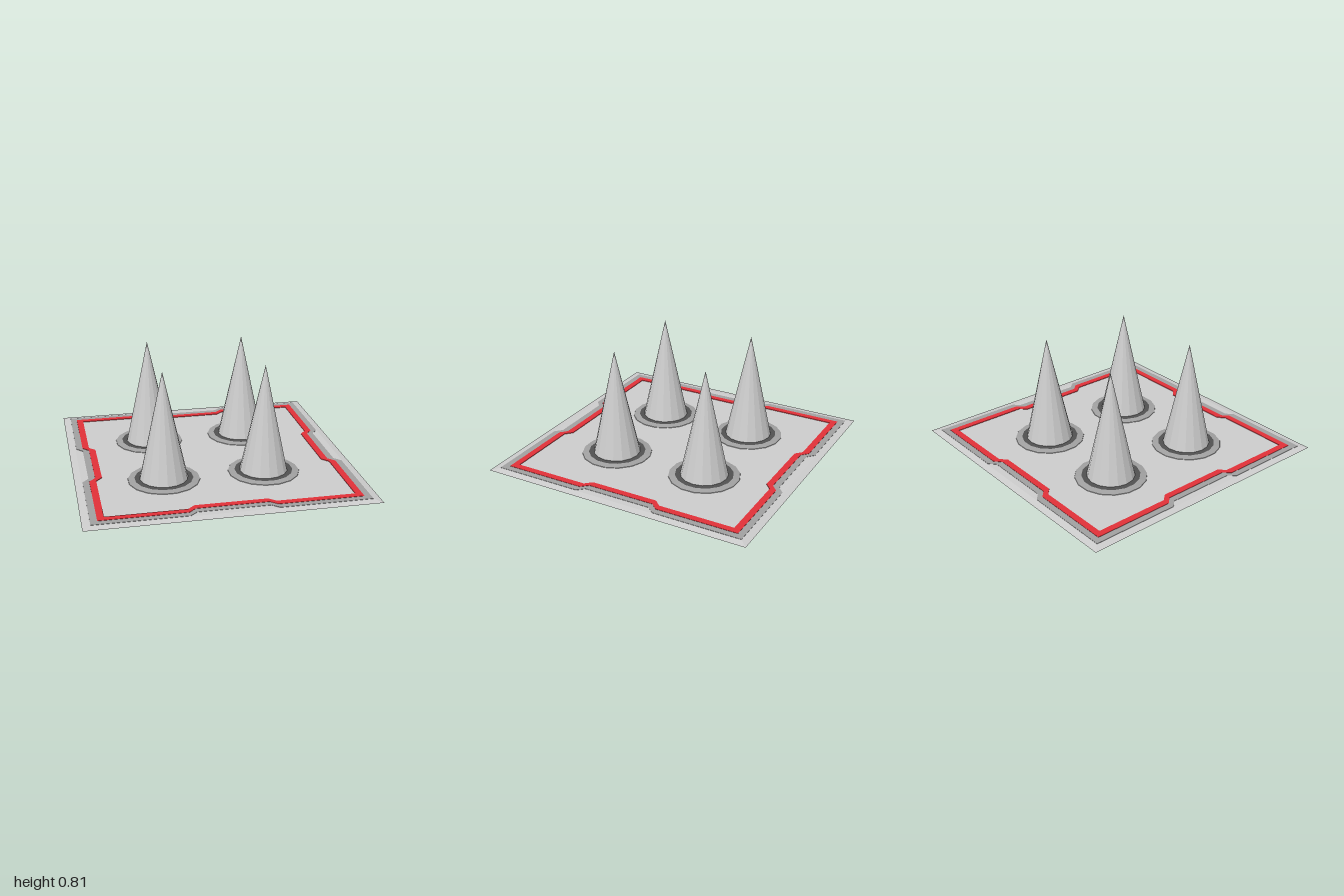
import * as THREE from 'three';

const mat = (color) => new THREE.MeshStandardMaterial({ color, flatShading: true });

// Square outline with a shallow inward notch in the middle of each side
function notchedPoints(r) {
  const side = [[-r, -r], [-0.3, -r], [-0.25, 0.045 - r], [0.25, 0.045 - r], [0.3, -r]];
  const pts = [];
  for (let i = 0; i < 4; i++) {
    const a = (i * Math.PI) / 2;
    for (const [x, y] of side) pts.push(new THREE.Vector2(x, y).rotateAround(new THREE.Vector2(), a));
  }
  return pts;
}

// Flat notched band between two outlines, lying from bottom to top
function band(name, outer, inner, bottom, top, material) {
  const shape = new THREE.Shape(notchedPoints(outer));
  shape.holes.push(new THREE.Path(notchedPoints(inner)));
  const geo = new THREE.ExtrudeGeometry(shape, { depth: top - bottom, bevelEnabled: false });
  geo.rotateX(-Math.PI / 2);
  const mesh = new THREE.Mesh(geo, material);
  mesh.name = name;
  mesh.position.y = bottom;
  return mesh;
}

// Ring around a spike, from [radius, height] pairs
function ring(name, profile, material) {
  const pts = profile.map(([r, y]) => new THREE.Vector2(r, y));
  const geo = new THREE.LatheGeometry(pts, 16);
  geo.rotateY(Math.PI / 16);
  const mesh = new THREE.Mesh(geo, material);
  mesh.name = name;
  return mesh;
}

export function createModel() {
  const group = new THREE.Group();
  const grey = mat(0xcccccc);
  const midGrey = mat(0xa0a0a0);
  const darkGrey = mat(0x505050);
  const red = mat(0xe03038);

  // Thin square plate with sloped edges
  const plateGeo = new THREE.CylinderGeometry(0.95 * Math.SQRT2, Math.SQRT2, 0.009, 4);
  plateGeo.rotateY(Math.PI / 4);
  const plate = new THREE.Mesh(plateGeo, grey);
  plate.name = 'basePlate';
  plate.position.y = 0.0195;
  group.add(plate);

  // Painted border bands
  group.add(band('greyBorder', 0.945, 0.898, 0.02, 0.026, midGrey));
  group.add(band('redBorder', 0.898, 0.85, 0.02, 0.028, red));

  // Four spikes, each with a sloped outer ring and a dark collar
  const spikeGeo = new THREE.ConeGeometry(0.178, 0.815, 16);
  spikeGeo.translate(0, 0.4075, 0);
  for (const x of [-0.38, 0.34]) {
    for (const z of [-0.37, 0.35]) {
      const unit = new THREE.Group();
      unit.name = 'spikeUnit';
      unit.position.set(x, 0, z);
      const spike = new THREE.Mesh(spikeGeo, grey);
      spike.name = 'spike';
      unit.add(
        spike,
        ring('outerRing', [[0.256, 0.022], [0.254, 0.027], [0.207, 0.035]], midGrey),
        ring('collar', [[0.207, 0.022], [0.207, 0.035], [0.165, 0.036]], darkGrey)
      );
      group.add(unit);
    }
  }
  return group;
}
